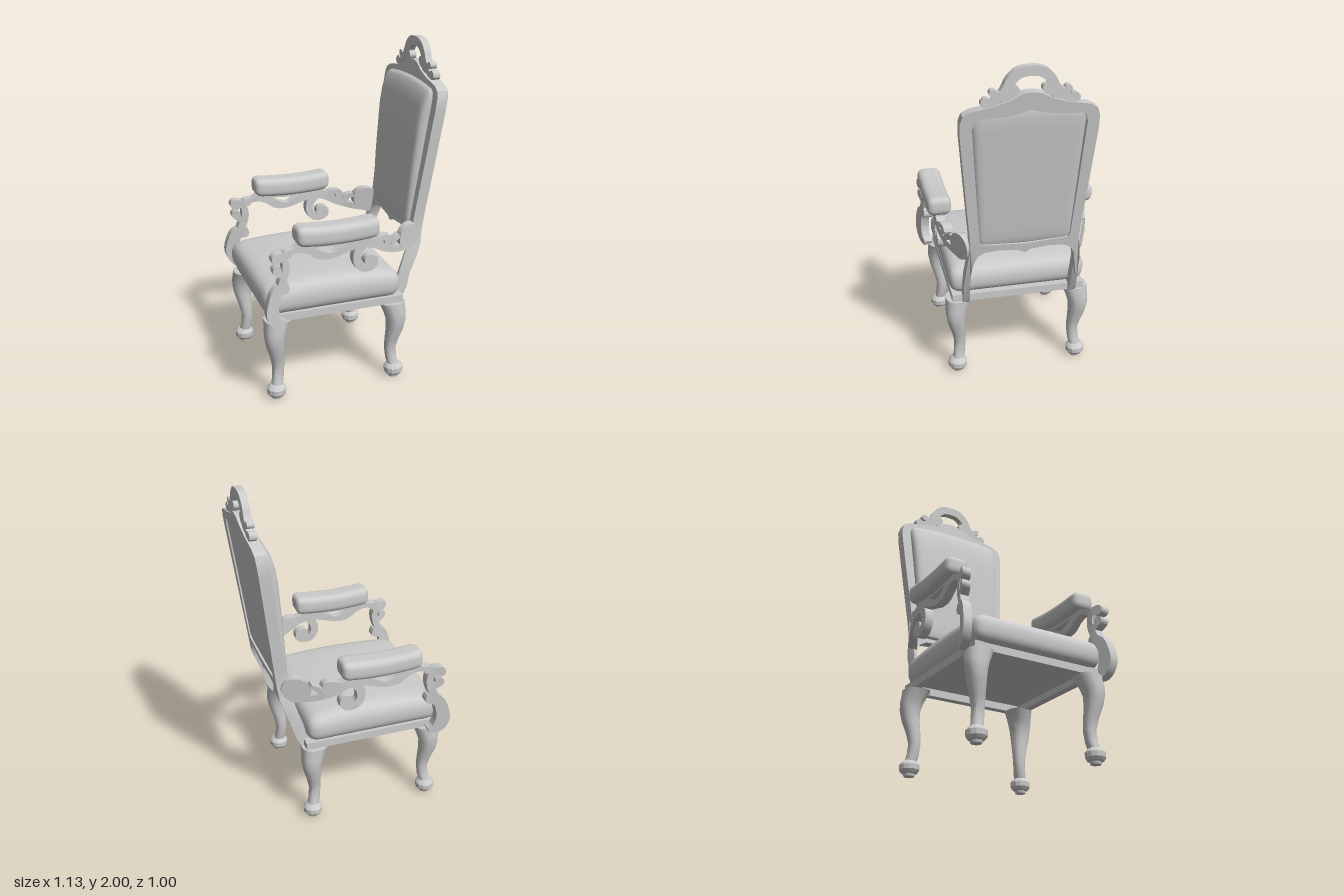
import * as THREE from 'three';
import { mergeVertices, mergeGeometries, toCreasedNormals } from 'three/addons/utils/BufferGeometryUtils.js';

const material = new THREE.MeshStandardMaterial({ color: 0xcccccc });

// Piecewise linear lookup in [[key, value], ...]
function lerpTable(table, k) {
  if (k <= table[0][0]) return table[0][1];
  for (let i = 1; i < table.length; i++) {
    const [a, va] = table[i - 1], [b, vb] = table[i];
    if (k <= b) return va + (vb - va) * (k - a) / (b - a);
  }
  return table[table.length - 1][1];
}

const backX = [[0.5, 0.305], [0.53, 0.325], [0.57, 0.343], [0.65, 0.36], [0.72, 0.385], [0.77, 0.41], [0.83, 0.43], [0.92, 0.442], [1.87, 0.565]];
const rearFace = y => lerpTable(backX, y);
const armZ = [[-0.57, 0.475], [-0.45, 0.437], [-0.36, 0.43], [0.1, 0.425], [0.2, 0.40], [0.3, 0.355], [0.42, 0.30]];
// Forward bulge of the back cushion from bottom to top
const bulge = [[0, 0.022], [0.4, 0], [0.8, -0.012], [0.92, 0], [1, 0.02]];

function addMesh(parent, geometry, name) {
  const mesh = new THREE.Mesh(geometry, material);
  mesh.name = name;
  parent.add(mesh);
  return mesh;
}

// Moves every vertex by a rule
function warp(geometry, rule) {
  const p = geometry.attributes.position, v = new THREE.Vector3();
  for (let i = 0; i < p.count; i++) {
    v.fromBufferAttribute(p, i);
    rule(v);
    p.setXYZ(i, v.x, v.y, v.z);
  }
  return geometry;
}

function creased(geometry, angle = 0.6) {
  const g = geometry.index ? geometry.toNonIndexed() : geometry;
  g.deleteAttribute('uv');
  g.computeVertexNormals();
  return toCreasedNormals(g, angle);
}

// Closed skin over equal-sized rings of points
function loft(rings) {
  const n = rings[0].length, last = (rings.length - 1) * n, index = [];
  for (let i = 0; i < rings.length - 1; i++) {
    for (let j = 0; j < n; j++) {
      const a = i * n + j, b = i * n + (j + 1) % n;
      index.push(a, b, a + n, b, b + n, a + n);
    }
  }
  for (let j = 1; j < n - 1; j++) index.push(0, j + 1, j, last, last + j, last + j + 1);
  const g = new THREE.BufferGeometry();
  g.setAttribute('position', new THREE.Float32BufferAttribute(rings.flat(2), 3));
  g.setIndex(index);
  return g;
}

// Flat carved band in the xy plane through [x, y, width] points
function ribbon(points, thick, n = 32) {
  const curve = new THREE.CatmullRomCurve3(points.map(p => new THREE.Vector3(...p)), false, 'centripetal');
  const rings = [];
  for (let i = 0; i <= n; i++) {
    const p = curve.getPoint(i / n), t = curve.getTangent(i / n);
    const len = Math.hypot(t.x, t.y), h = p.z / 2, nx = -t.y / len * h, ny = t.x / len * h, d = thick / 2;
    rings.push([[p.x + nx, p.y + ny, d], [p.x - nx, p.y - ny, d], [p.x - nx, p.y - ny, -d], [p.x + nx, p.y + ny, -d]]);
  }
  return creased(loft(rings));
}

function disc(x, y, r, thick) {
  return creased(new THREE.CylinderGeometry(r, r, thick, 20).rotateX(Math.PI / 2).translate(x, y, 0));
}

// Smooth upholstered block, then shaped by a rule
function cushion(w, h, d, r, rule) {
  const g = new THREE.BoxGeometry(2, 2, 2, 20, 12, 20);
  g.deleteAttribute('uv');
  g.deleteAttribute('normal');
  const half = new THREE.Vector3(w / 2, h / 2, d / 2), core = new THREE.Vector3();
  warp(g, v => {
    for (const k of ['x', 'y', 'z']) v[k] = Math.sin(v[k] * Math.PI / 2) * half[k];
    core.set(...['x', 'y', 'z'].map(k => THREE.MathUtils.clamp(v[k], r - half[k], half[k] - r)));
    v.sub(core).normalize().multiplyScalar(r).add(core);
    rule(v);
  });
  const smooth = mergeVertices(g, 1e-5);
  smooth.computeVertexNormals();
  return smooth;
}

function addLeg(parent, name, sx, sz, footX) {
  const leg = new THREE.Group();
  leg.name = name;
  // [height, outward shift, half width]
  const stations = [[0.07, 0, 0.034], [0.12, -0.012, 0.033], [0.19, -0.018, 0.034], [0.26, -0.01, 0.041],
    [0.33, 0.002, 0.051], [0.39, 0.006, 0.058], [0.44, -0.001, 0.066], [0.48, -0.012, 0.073], [0.505, -0.018, 0.079]];
  const rings = stations.map(([y, shift, r]) => Array.from({ length: 12 }, (_, j) => {
    const a = (j + 0.5) / 12 * Math.PI * 2, s = Math.sin(a), c = Math.cos(a);
    const round = x => Math.sign(x) * Math.abs(x) ** 0.8 * r;
    return [footX + sx * shift + round(s), y, sz * (0.372 + shift) + round(c)];
  }));
  addMesh(leg, creased(loft(rings), 0.7), 'cabrioleLeg');
  const profile = [[0, 0], [0.03, 0], [0.034, 0.015], [0.046, 0.02], [0.057, 0.036], [0.058, 0.065], [0.046, 0.082], [0.034, 0.09], [0, 0.09]];
  const foot = new THREE.LatheGeometry(profile.map(p => new THREE.Vector2(...p)), 12);
  addMesh(leg, creased(foot, 0.4), 'foot').position.set(footX, 0, sz * 0.372);
  parent.add(leg);
}

function addArm(parent, name, side) {
  const arm = new THREE.Group();
  arm.name = name;
  const t = 0.052;
  const carve = (parts, partName) =>
    addMesh(arm, creased(warp(mergeGeometries(parts), v => { v.z += side * lerpTable(armZ, v.x); })), partName);

  // Front support: lower C scroll, neck and upper volutes
  carve([
    ribbon([[-0.45, 0.515, 0.035], [-0.50, 0.535, 0.065], [-0.53, 0.60, 0.078], [-0.522, 0.67, 0.072], [-0.50, 0.725, 0.065], [-0.46, 0.755, 0.045], [-0.43, 0.755, 0.02]], t),
    disc(-0.455, 0.735, 0.032, t),
    ribbon([[-0.49, 0.70, 0.04], [-0.47, 0.77, 0.045], [-0.447, 0.83, 0.042], [-0.445, 0.89, 0.04], [-0.47, 0.935, 0.035], [-0.50, 0.94, 0.03]], t),
    disc(-0.498, 0.925, 0.033, t),
    ribbon([[-0.45, 0.81, 0.03], [-0.48, 0.83, 0.035], [-0.51, 0.855, 0.03], [-0.50, 0.88, 0.02]], t, 16),
    disc(-0.498, 0.86, 0.026, t),
    ribbon([[-0.455, 0.91, 0.04], [-0.44, 0.945, 0.03], [-0.40, 0.95, 0.03], [-0.35, 0.965, 0.05]], t, 16),
    disc(-0.425, 0.935, 0.02, t),
  ], 'frontSupport');

  // Waved rail under the pad, running back to the large volute
  carve([
    ribbon([[-0.37, 0.97, 0.05], [-0.30, 0.945, 0.05], [-0.24, 0.905, 0.05], [-0.17, 0.893, 0.035], [-0.09, 0.92, 0.045], [0, 0.945, 0.055],
      [0.08, 0.93, 0.055], [0.15, 0.89, 0.045], [0.23, 0.86, 0.04], [0.30, 0.845, 0.035], [0.36, 0.85, 0.03]], t, 48),
    ribbon([[-0.34, 0.985, 0.04], [-0.20, 0.965, 0.03], [-0.05, 0.97, 0.04], [0.08, 0.985, 0.03]], t, 16),
    disc(0.342, 0.90, 0.078, 0.058),
    ribbon([[0.09, 0.92, 0.03], [0.13, 0.945, 0.032], [0.18, 0.945, 0.028], [0.20, 0.92, 0.02]], t, 16),
    disc(0.178, 0.925, 0.024, t),
    ribbon([[0.20, 0.875, 0.03], [0.225, 0.91, 0.03], [0.265, 0.93, 0.025]], t, 12),
  ], 'armRail');

  // Hanging curl
  carve([
    ribbon([[0.03, 0.94, 0.05], [-0.012, 0.89, 0.05], [-0.018, 0.835, 0.048], [0.008, 0.792, 0.045], [0.05, 0.782, 0.042],
      [0.088, 0.80, 0.038], [0.09, 0.835, 0.03], [0.06, 0.845, 0.02]], t),
    disc(0.063, 0.825, 0.036, t),
  ], 'hangingCurl');

  addMesh(arm, cushion(0.49, 0.115, 0.142, 0.04, v => {
    v.y += 1.022 + 0.016 * (v.x / 0.245) ** 2;
    v.x -= 0.138;
    v.z += side * 0.43;
  }), 'armPad');
  parent.add(arm);
}

function addBack(parent) {
  const back = new THREE.Group();
  back.name = 'chairBack';
  const mirrored = half => {
    const other = half.filter(p => p[0] > 0).map(([z, y]) => [-z, y]).reverse();
    return [...half, ...other].map(p => new THREE.Vector2(...p));
  };
  // Shield frame with the two rear posts
  const outer = [[0, 0.868], [0.035, 0.888], [0.15, 0.9], [0.23, 0.893], [0.27, 0.87], [0.292, 0.83], [0.302, 0.77], [0.305, 0.72], [0.305, 0.65], [0.303, 0.57], [0.302, 0.53], [0.302, 0.5],
    [0.342, 0.5], [0.342, 0.53], [0.341, 0.57], [0.339, 0.65], [0.337, 0.72], [0.334, 0.77], [0.327, 0.83], [0.315, 0.92], [0.32, 1.02], [0.35, 1.35], [0.375, 1.64],
    [0.375, 1.71], [0.36, 1.753], [0.32, 1.776], [0.2, 1.797], [0.11, 1.825], [0.05, 1.858], [0, 1.865]];
  const inner = [[0, 0.93], [0.25, 0.945], [0.262, 0.97], [0.285, 1.3], [0.31, 1.68], [0.295, 1.725], [0.1, 1.74], [0, 1.765]];
  const shape = new THREE.Shape(mirrored(outer));
  shape.holes.push(new THREE.Path(mirrored(inner)));
  const frame = new THREE.ExtrudeGeometry(shape, { depth: 0.065, bevelEnabled: false });
  frame.rotateY(Math.PI / 2);
  addMesh(back, creased(warp(frame, v => { v.x += rearFace(v.y) - 0.065; }), 0.5), 'backFrame');

  // Tapered, bowed back upholstery with an arched top
  addMesh(back, cushion(0.105, 0.83, 0.64, 0.045, v => {
    const k = (v.y + 0.415) / 0.83, front = THREE.MathUtils.clamp(0.5 - v.x / 0.105, 0, 1);
    v.z *= 0.84 + 0.16 * k;
    v.y += 1.335 + 0.025 * k * (1 - (v.z / 0.32) ** 2);
    v.x += rearFace(v.y) - 0.057 + front * lerpTable(bulge, k);
  }), 'backCushion');

  // Pierced crest: arch with scrolls on both sides
  const thick = 0.042;
  const crest = [ribbon([[-0.125, 1.87, 0.055], [-0.112, 1.915, 0.055], [-0.065, 1.962, 0.055], [0, 1.973, 0.054], [0.065, 1.962, 0.055], [0.112, 1.915, 0.055], [0.125, 1.87, 0.055]], thick)];
  for (const s of [-1, 1]) {
    const curl = pts => ribbon(pts.map(([z, y, w]) => [s * z, y, w]), thick, 18);
    crest.push(
      curl([[0.12, 1.90, 0.05], [0.145, 1.86, 0.05], [0.18, 1.83, 0.042], [0.22, 1.808, 0.035], [0.25, 1.81, 0.028], [0.255, 1.83, 0.015]]),
      disc(s * 0.235, 1.82, 0.024, thick),
      curl([[0.15, 1.865, 0.025], [0.185, 1.86, 0.025], [0.205, 1.875, 0.02]]),
      disc(s * 0.2, 1.866, 0.02, thick),
      curl([[0.13, 1.88, 0.035], [0.105, 1.85, 0.03], [0.08, 1.865, 0.025], [0.075, 1.885, 0.015]]),
      disc(s * 0.085, 1.875, 0.024, thick),
      curl([[0.12, 1.87, 0.03], [0.13, 1.84, 0.04], [0.14, 1.80, 0.04]]));
  }
  addMesh(back, mergeGeometries(crest).rotateY(Math.PI / 2).translate(0.526, 0, 0), 'crest');
  parent.add(back);
}

export function createModel() {
  const chair = new THREE.Group();
  chair.name = 'armchair';

  for (const sz of [1, -1]) {
    const side = sz > 0 ? 'left' : 'right';
    addLeg(chair, side + 'FrontLeg', -1, sz, -0.488);
    addLeg(chair, side + 'RearLeg', 1, sz, 0.254);
    addArm(chair, side + 'Arm', sz);
  }

  // Open seat rail
  const box = (Type, x0, x1, z) => new Type([[x0, -z], [x1, -z], [x1, z], [x0, z]].map(p => new THREE.Vector2(...p)));
  const railShape = box(THREE.Shape, -0.515, 0.295, 0.4);
  railShape.holes.push(box(THREE.Path, -0.47, 0.25, 0.355));
  const rail = new THREE.ExtrudeGeometry(railShape, { depth: 0.045, bevelEnabled: false });
  addMesh(chair, rail.rotateX(-Math.PI / 2).translate(0, 0.503, 0), 'seatRail');

  // Domed seat cushion
  addMesh(chair, cushion(0.84, 0.165, 0.825, 0.07, v => {
    const up = THREE.MathUtils.clamp((v.y + 0.0825) / 0.165, 0, 1);
    v.y += 0.62 + up * 0.038 * (1 - (v.x / 0.42) ** 2) * (1 - 0.5 * (v.z / 0.4125) ** 4);
    v.x -= 0.135;
  }), 'seatCushion');

  addBack(chair);
  return chair;
}
